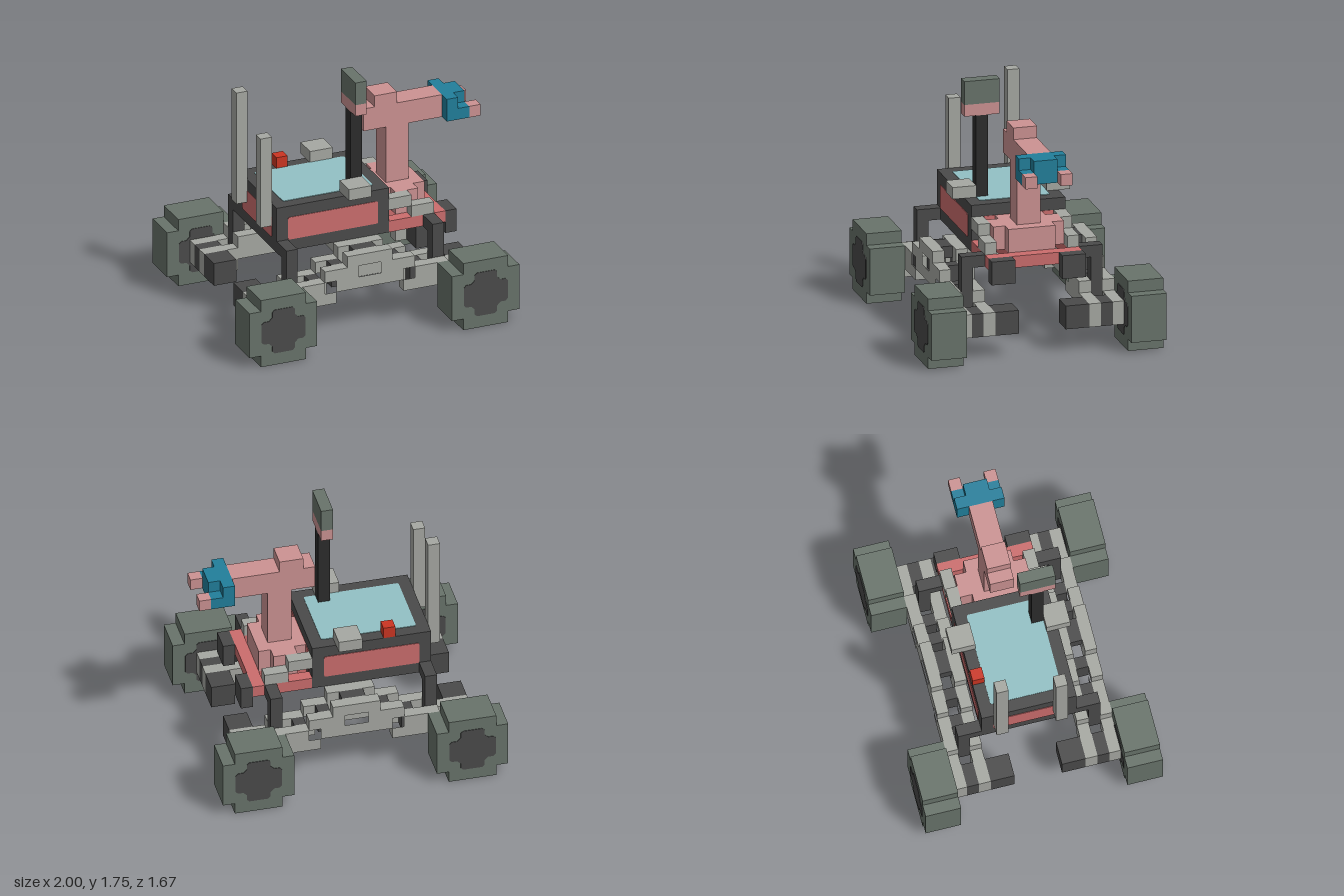
import * as THREE from 'three';

const U = 1 / 12; // one block
const PLATE = 0.004;

function material(name, color) {
  const m = new THREE.MeshStandardMaterial({ color });
  m.name = name;
  return m;
}

export function createModel() {
  const model = new THREE.Group();
  model.name = 'rover';
  const grey = material('light grey', 0xa6a8a2);
  const dark = material('dark grey', 0x4a4a4a);
  const black = material('black', 0x2c2c2c);
  const tyre = material('tyre green', 0x68736a);
  const pink = material('pink', 0xcc9292);
  const rose = material('rose', 0xcb6d6d);
  const teal = material('teal', 0x217f9b);
  const glass = material('pale blue', 0x92c1c5);
  const red = material('red', 0xcb3522);

  // Box from block coordinates: x, y and z ranges
  function block(name, mat, x0, x1, y0, y1, z0, z1, parent = model) {
    const mesh = new THREE.Mesh(
      new THREE.BoxGeometry((x1 - x0) * U, (y1 - y0) * U, (z1 - z0) * U), mat);
    mesh.position.set((x0 + x1) * U / 2, (y0 + y1) * U / 2, (z0 + z1) * U / 2);
    mesh.name = name;
    parent.add(mesh);
    return mesh;
  }
  // The same block on both sides of the centre line
  function pair(name, mat, x0, x1, y0, y1, z0, z1) {
    block(name, mat, x0, x1, y0, y1, z0, z1);
    block(name, mat, x0, x1, y0, y1, -z1, -z0);
  }
  // The same block at all four corners
  function corners(name, mat, x0, x1, y0, y1, z0, z1) {
    pair(name, mat, x0, x1, y0, y1, z0, z1);
    pair(name, mat, -x1, -x0, y0, y1, z0, z1);
  }
  function shapeOf(points) {
    return new THREE.Shape(points.map(([x, y]) => new THREE.Vector2(x * U, y * U)));
  }
  function extrude(shape, depth) {
    return new THREE.ExtrudeGeometry(shape, { depth, bevelEnabled: false });
  }

  // Wheels: notched tyres with hub plates on both faces
  const tyreShape = shapeOf([[-2, -3], [2, -3], [2, -2], [3, -2], [3, 2], [2, 2],
    [2, 3], [-2, 3], [-2, 2], [-3, 2], [-3, -2], [-2, -2]]);
  const tyreGeometry = extrude(tyreShape, 3 * U);
  const hubPoints = [];
  for (let i = 0; i < 4; i++) {
    const c = Math.round(Math.cos(i * Math.PI / 2)), s = Math.round(Math.sin(i * Math.PI / 2));
    for (const [x, y] of [[1.75, -1], [1.95, -0.8], [1.95, 0.8], [1.75, 1], [1.3, 1], [1, 1.3], [1, 1.75]]) {
      hubPoints.push([x * c - y * s, x * s + y * c]);
    }
  }
  const hubGeometry = extrude(shapeOf(hubPoints), 3 * U + 2 * PLATE);
  for (const x of [-9, 9]) {
    for (const z of [-10, 7]) {
      const wheel = new THREE.Group();
      wheel.name = 'wheel';
      const rim = new THREE.Mesh(tyreGeometry, tyre);
      rim.name = 'tyre';
      const hub = new THREE.Mesh(hubGeometry, dark);
      hub.name = 'hub';
      hub.position.z = -PLATE;
      wheel.add(rim, hub);
      wheel.position.set(x * U, 3 * U, z * U);
      model.add(wheel);
    }
  }

  // Suspension: stepped side plates with holes
  const half = [[2, 7], [2, 6], [4, 6], [4, 5], [7, 5], [7, 4], [10, 4], [10, 2], [7, 2], [7, 3], [3, 3], [3, 4]];
  const plateShape = shapeOf([...half, ...half.slice().reverse().map(([x, y]) => [-x, y])]);
  const hole = (x0, x1, y0, y1) => plateShape.holes.push(
    new THREE.Path([[x0, y0], [x0, y1], [x1, y1], [x1, y0]].map(([x, y]) => new THREE.Vector2(x * U, y * U))));
  hole(-1, 1, 5, 6);
  hole(-3.999, -3.001, 4, 4.999);
  hole(3.001, 3.999, 4, 4.999);
  const plateGeometry = extrude(plateShape, U);
  for (const z of [-7, -5, 4, 6]) {
    const plate = new THREE.Mesh(plateGeometry, grey);
    plate.name = 'suspensionPlate';
    plate.position.z = z * U;
    model.add(plate);
  }
  // Spacers between the plates, motors, legs and cross beam
  corners('endSpacer', dark, 8, 10, 2, 4, 5, 6);
  corners('armSpacer', dark, 4, 5, 3, 5, 5, 6);
  corners('middleSpacer', dark, 2, 3, 4, 6, 5, 6);
  pair('centreSpacer', dark, -1, 1, 6, 7, 5, 6);
  corners('wheelMotor', dark, 8, 10, 2, 4, 2, 4);
  corners('leg', dark, 6, 7, 3, 8, 5, 6);
  corners('legTop', dark, 6, 7, 7, 8, 4, 5);
  block('crossBeam', grey, -1, 1, 5, 7, -4.5, 4.5);

  // Body with rounded inset panels
  block('body', dark, -7, 3, 7, 11, -4, 4);
  function panel(name, mat, w, h, position, rotation) {
    const a = w * U / 2, b = h * U / 2, r = 0.015;
    const s = new THREE.Shape();
    s.moveTo(-a + r, -b);
    s.lineTo(a - r, -b).quadraticCurveTo(a, -b, a, -b + r);
    s.lineTo(a, b - r).quadraticCurveTo(a, b, a - r, b);
    s.lineTo(-a + r, b).quadraticCurveTo(-a, b, -a, b - r);
    s.lineTo(-a, -b + r).quadraticCurveTo(-a, -b, -a + r, -b);
    const mesh = new THREE.Mesh(extrude(s, PLATE), mat);
    mesh.name = name;
    mesh.position.set(...position.map(v => v * U));
    mesh.rotation.set(...rotation);
    model.add(mesh);
  }
  const Q = Math.PI / 2;
  panel('solarPanel', glass, 8, 6, [-2, 11, 0], [-Q, 0, 0]);
  panel('bottomPanel', rose, 8, 6, [-2, 7, 0], [Q, 0, 0]);
  panel('frontPanel', rose, 8, 2, [-2, 9, 4], [0, 0, 0]);
  panel('backPanel', rose, 8, 2, [-2, 9, -4], [0, Math.PI, 0]);
  panel('endPanel', rose, 6, 2, [-7, 9, 0], [0, -Q, 0]);
  panel('endPanel', rose, 6, 2, [3, 9, 0], [0, Q, 0]);

  // Fittings on the body
  pair('topTab', grey, -1, 1, 11, 12, 3, 5);
  block('button', red, -4, -3, 11, 12, -4, -3);
  block('shortAntenna', grey, -8, -7, 9, 17, 2, 3);
  block('tallAntenna', grey, -8, -7, 9, 19, -3, -2);
  block('mast', black, 0, 1, 11, 18, 2, 3);
  block('cameraBase', pink, 0, 1, 18, 19, 1, 4);
  block('cameraHead', tyre, 0, 1, 19, 21, 1, 4);

  // Arm platform
  pair('platformRail', rose, 3, 7, 7, 8, 3, 4);
  block('platformBar', rose, 7, 8, 7, 8, -4, 4);
  block('platformCentre', rose, 3, 7, 7, 8, -2, 2);
  pair('bumper', dark, 8, 9, 6, 8, 2, 4);
  pair('upperBracket', grey, 3, 5, 9, 10, 3, 4);
  pair('lowerBracket', grey, 5, 7, 8, 9, 3, 4);

  // Arm with gripper
  block('armBase', pink, 3, 7, 8, 10, -2, 2);
  pair('armBaseSide', pink, 4, 6, 8, 10, 2, 3);
  block('armColumn', pink, 4, 6, 10, 15, -1, 1);
  block('armBeam', pink, 2, 9, 15, 17, -1, 1);
  block('armCap', pink, 3, 5, 17, 18, -1, 1);
  block('wrist', teal, 9, 10, 15, 17, -2, 2);
  block('palm', teal, 10, 11, 15, 17, -1, 1);
  pair('knuckle', teal, 10, 11, 15, 16, 1, 2);
  pair('finger', pink, 11, 12, 15, 16, 1, 2);
  return model;
}
